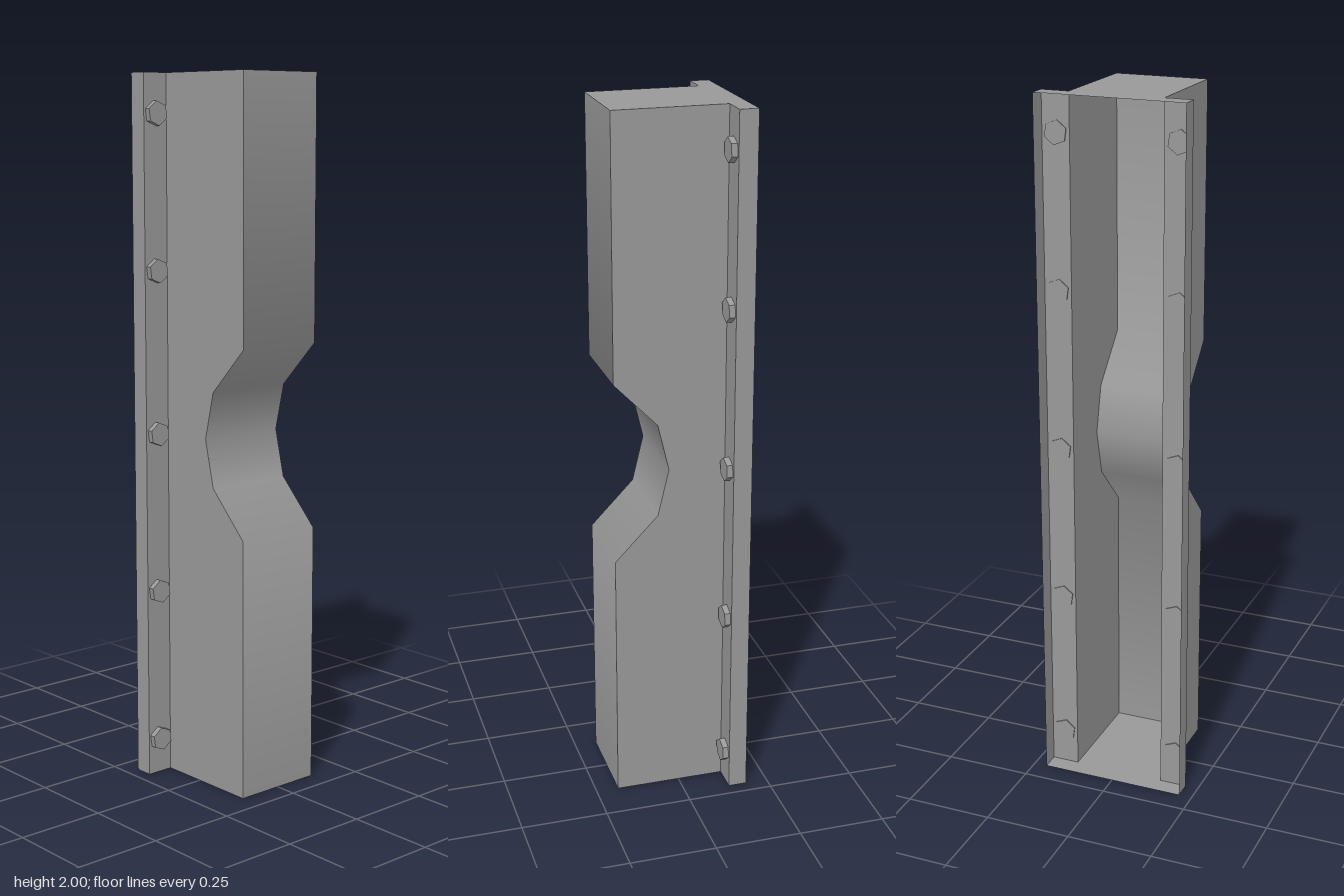
import * as THREE from 'three';

const BACK = -0.1855, SEAT = -0.1325, FRONT = 0.1855; // x of open back, flange face, front face
const BODY = 0.133, FLANGE = 0.212, HEIGHT = 2;       // half widths in z, height

// Front edge of the body, bottom to top, with the notch
const profile = [
  [FRONT, 0], [FRONT, 0.738], [0.0615, 0.867], [0.0295, 1.001],
  [0.0615, 1.135], [FRONT, 1.264], [FRONT, HEIGHT],
];

// Geometry from a list of quads, corners counter-clockwise from outside
function quads(list) {
  const positions = list.flatMap(([a, b, c, d]) => [a, b, c, a, c, d]).flat();
  const geometry = new THREE.BufferGeometry();
  geometry.setAttribute('position', new THREE.Float32BufferAttribute(positions, 3));
  geometry.computeVertexNormals();
  return geometry;
}

// Top and bottom faces of a block
function caps(x0, x1, halfWidth) {
  const cap = (y) => [[x0, y, halfWidth], [x1, y, halfWidth], [x1, y, -halfWidth], [x0, y, -halfWidth]];
  return [cap(HEIGHT), cap(0).reverse()];
}

// Ribbon along the profile, each normal the even average of its neighbouring faces
function notchedRibbon() {
  const points = profile.map(([x, y]) => new THREE.Vector2(x, y));
  const faceNormals = points.slice(1).map((p, i) => {
    const d = p.clone().sub(points[i]).normalize();
    return new THREE.Vector2(d.y, -d.x);
  });
  const positions = [], normals = [], index = [];
  points.forEach((p, i) => {
    const below = faceNormals[Math.max(i - 1, 0)];
    const above = faceNormals[Math.min(i, faceNormals.length - 1)];
    const n = below.clone().add(above).normalize();
    positions.push(p.x, p.y, BODY, p.x, p.y, -BODY);
    normals.push(n.x, n.y, 0, n.x, n.y, 0);
    if (i > 0) {
      const k = 2 * i - 2;
      index.push(k, k + 1, k + 3, k, k + 3, k + 2);
    }
  });
  const geometry = new THREE.BufferGeometry();
  geometry.setAttribute('position', new THREE.Float32BufferAttribute(positions, 3));
  geometry.setAttribute('normal', new THREE.Float32BufferAttribute(normals, 3));
  geometry.setIndex(index);
  return geometry;
}

export function createModel() {
  const model = new THREE.Group();
  const shell = new THREE.MeshStandardMaterial({ color: 0x999999, side: THREE.DoubleSide });
  const metal = new THREE.MeshStandardMaterial({ color: 0x999999, flatShading: true });

  const add = (name, geometry, material) => {
    const mesh = new THREE.Mesh(geometry, material);
    mesh.name = name;
    model.add(mesh);
    return mesh;
  };

  // Hollow body: smooth notched front, two side walls and end caps
  const body = caps(SEAT, FRONT, BODY);
  for (let i = 0; i < profile.length - 1; i++) {
    const [x0, y0] = profile[i], [x1, y1] = profile[i + 1];
    const wall = (z) => [[SEAT, y0, z], [x0, y0, z], [x1, y1, z], [SEAT, y1, z]];
    body.push(wall(BODY), wall(-BODY).reverse());
  }
  add('notchedFront', notchedRibbon(), shell);
  add('bodyWalls', quads(body), shell);

  // Mounting flange, open at the back
  const flange = caps(BACK, SEAT, FLANGE);
  const edge = (z) => [[BACK, 0, z], [SEAT, 0, z], [SEAT, HEIGHT, z], [BACK, HEIGHT, z]];
  flange.push(edge(FLANGE), edge(-FLANGE).reverse());
  for (const [z0, z1] of [[FLANGE, BODY], [-BODY, -FLANGE]]) {
    flange.push([[SEAT, 0, z0], [SEAT, 0, z1], [SEAT, HEIGHT, z1], [SEAT, HEIGHT, z0]]);
  }
  add('mountingFlange', quads(flange), shell);

  // Hexagonal bolt heads along both flanges, set slightly through the plate
  const bolt = new THREE.CylinderGeometry(0.034, 0.034, 0.02, 6, 1, false, -THREE.MathUtils.degToRad(22));
  bolt.rotateZ(-Math.PI / 2);
  for (const y of [0.104, 0.545, 1.001, 1.46, 1.89]) {
    for (const z of [-0.173, 0.175]) {
      add('bolt', bolt, metal).position.set(-0.1258, y, z);
    }
  }
  return model;
}
